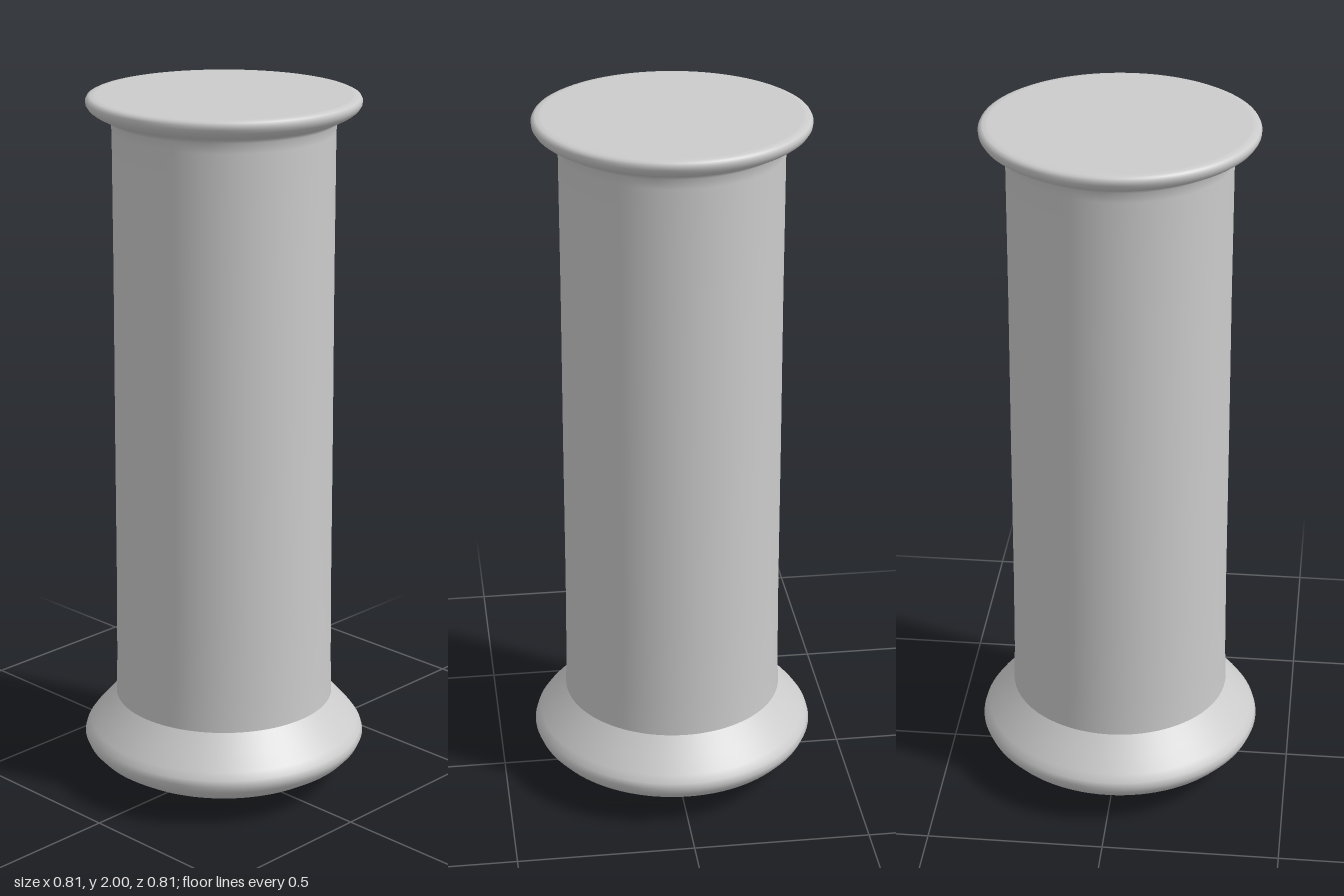
import * as THREE from 'three';

const material = new THREE.MeshStandardMaterial({ color: 0xcccccc });

// Turns a profile of [radius, height] points, listed from bottom to top
function turned(name, profile) {
  const points = profile.map(([r, y]) => new THREE.Vector2(r, y));
  const mesh = new THREE.Mesh(new THREE.LatheGeometry(points, 96), material);
  mesh.name = name;
  return mesh;
}

export function createModel() {
  const group = new THREE.Group();
  group.name = 'flangedColumn';

  // Shallow domed foot with a rounded rim, sloping in to the shaft
  group.add(turned('foot', [
    [0, 0], [0.08, 0.003], [0.16, 0.013], [0.23, 0.028], [0.29, 0.047],
    [0.34, 0.068], [0.375, 0.09], [0.395, 0.112], [0.404, 0.133],
    [0.399, 0.15], [0.385, 0.17], [0.35, 0.21], [0.312, 0.257],
  ]));

  // Long shaft, slightly wider at its lower end, flaring out at the top
  group.add(turned('shaft', [
    [0.312, 0.257], [0.309, 0.36], [0.307, 0.6], [0.306, 1.05],
    [0.304, 1.5], [0.304, 1.9], [0.306, 1.928], [0.314, 1.938],
    [0.335, 1.946], [0.354, 1.956],
  ]));

  // Rounded lip of the top flange
  group.add(turned('flangeRim', [
    [0.354, 1.956], [0.366, 1.965], [0.373, 1.976], [0.374, 1.987],
    [0.37, 1.995], [0.362, 1.999], [0.35, 2],
  ]));

  // Flat top
  group.add(turned('topDisc', [[0.35, 2], [0, 2]]));

  return group;
}
